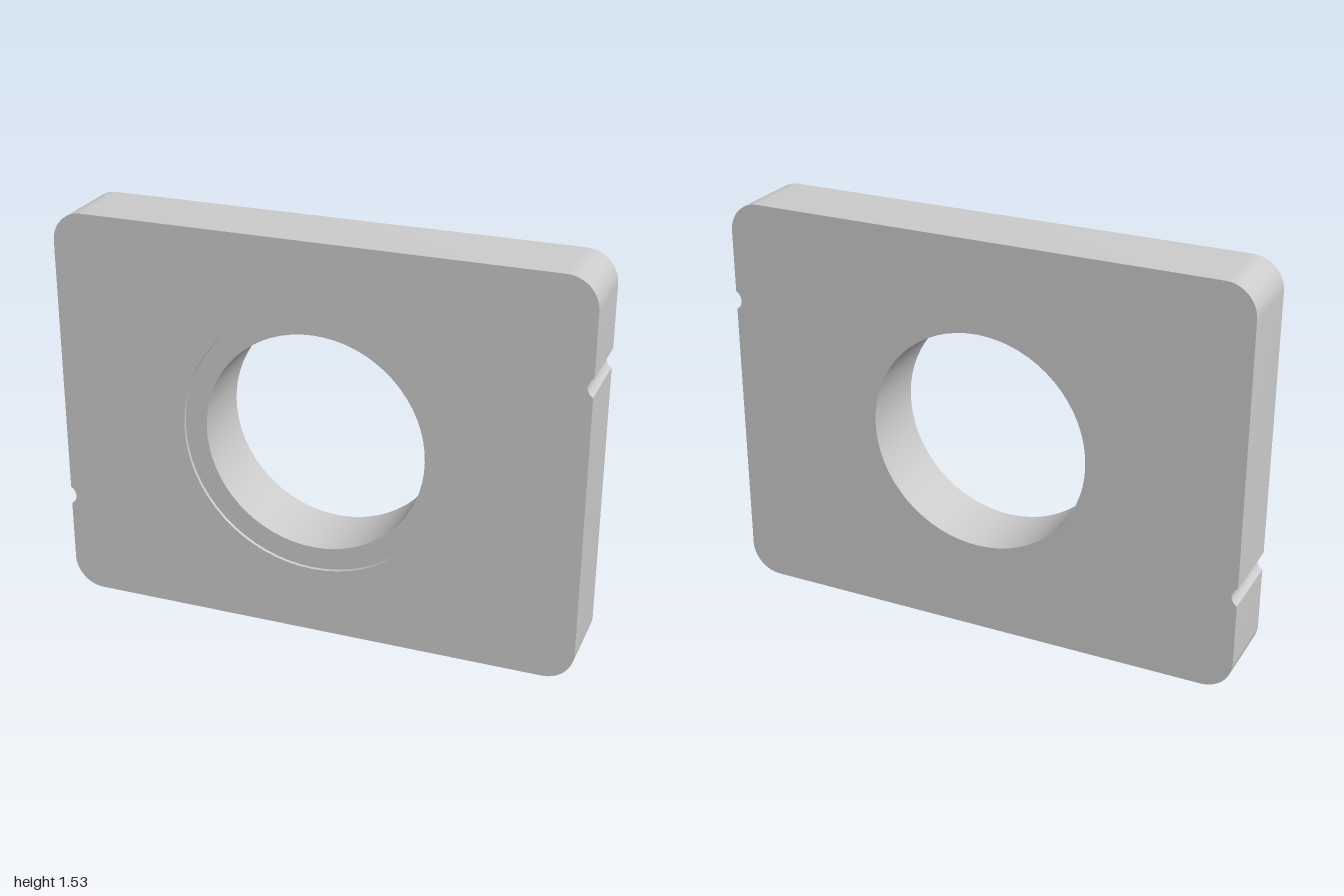
import * as THREE from 'three';
import { mergeGeometries, toCreasedNormals } from 'three/addons/utils/BufferGeometryUtils.js';

const HALF_W = 1, HALF_H = 0.765, HALF_D = 0.142;
const CORNER = 0.115;
const BORE = 0.42, RECESS = 0.505, RECESS_DEPTH = 0.013;
const NOTCH = { y: 0.38, half: 0.035, depth: 0.021 };
const SEGMENTS = 64;

// Rounded plate outline with one edge notch per side; the left half is the right half turned 180 degrees
function outlinePoints() {
  const r = (NOTCH.half ** 2 + NOTCH.depth ** 2) / (2 * NOTCH.depth);
  const a = Math.asin(NOTCH.half / r);
  const path = new THREE.Path();
  path.absarc(HALF_W - CORNER, -HALF_H + CORNER, CORNER, -Math.PI / 2, 0, false);
  path.absarc(HALF_W - NOTCH.depth + r, NOTCH.y, r, Math.PI + a, Math.PI - a, true);
  path.absarc(HALF_W - CORNER, HALF_H - CORNER, CORNER, 0, Math.PI / 2, false);
  const right = path.getPoints(8);
  return [...right, ...right.map((p) => p.clone().negate())];
}

// Flat face of the plate with a round opening
function face(points, radius) {
  const shape = new THREE.Shape(points);
  const circle = new THREE.Path().absarc(0, 0, radius, 0, Math.PI * 2, true);
  shape.holes.push(new THREE.Path(circle.getPoints(SEGMENTS / 2)));
  return new THREE.ShapeGeometry(shape).toNonIndexed();
}

// Outer rim only: the side walls of an extrusion, without its caps
function rim(points) {
  const solid = new THREE.ExtrudeGeometry(new THREE.Shape(points), { depth: 2 * HALF_D, bevelEnabled: false });
  const { start, count } = solid.groups[1];
  const wall = new THREE.BufferGeometry();
  for (const name of ['position', 'normal', 'uv']) {
    const { array, itemSize } = solid.attributes[name];
    wall.setAttribute(name, new THREE.BufferAttribute(array.slice(start * itemSize, (start + count) * itemSize), itemSize));
  }
  return wall.translate(0, 0, -HALF_D);
}

// Through bore with a shallow stepped recess at the front
function bore() {
  const step = HALF_D - RECESS_DEPTH;
  const profile = [[RECESS, HALF_D], [RECESS, step], [BORE, step], [BORE, -HALF_D]];
  return new THREE.LatheGeometry(profile.map(([x, y]) => new THREE.Vector2(x, y)), SEGMENTS)
    .rotateX(Math.PI / 2).toNonIndexed();
}

export function createModel() {
  const group = new THREE.Group();
  const points = outlinePoints();
  const geometry = mergeGeometries([
    face(points, RECESS).translate(0, 0, HALF_D),
    // the outline has half-turn symmetry, so mirror it to keep the notches aligned at the back
    face(points.map((p) => new THREE.Vector2(-p.x, p.y)), BORE).rotateY(Math.PI).translate(0, 0, -HALF_D),
    rim(points),
    bore(),
  ]);
  const plate = new THREE.Mesh(
    toCreasedNormals(geometry, Math.PI / 6),
    new THREE.MeshStandardMaterial({ color: 0xcccccc }),
  );
  plate.name = 'boredPlate';
  plate.position.y = HALF_H;
  group.add(plate);
  return group;
}
